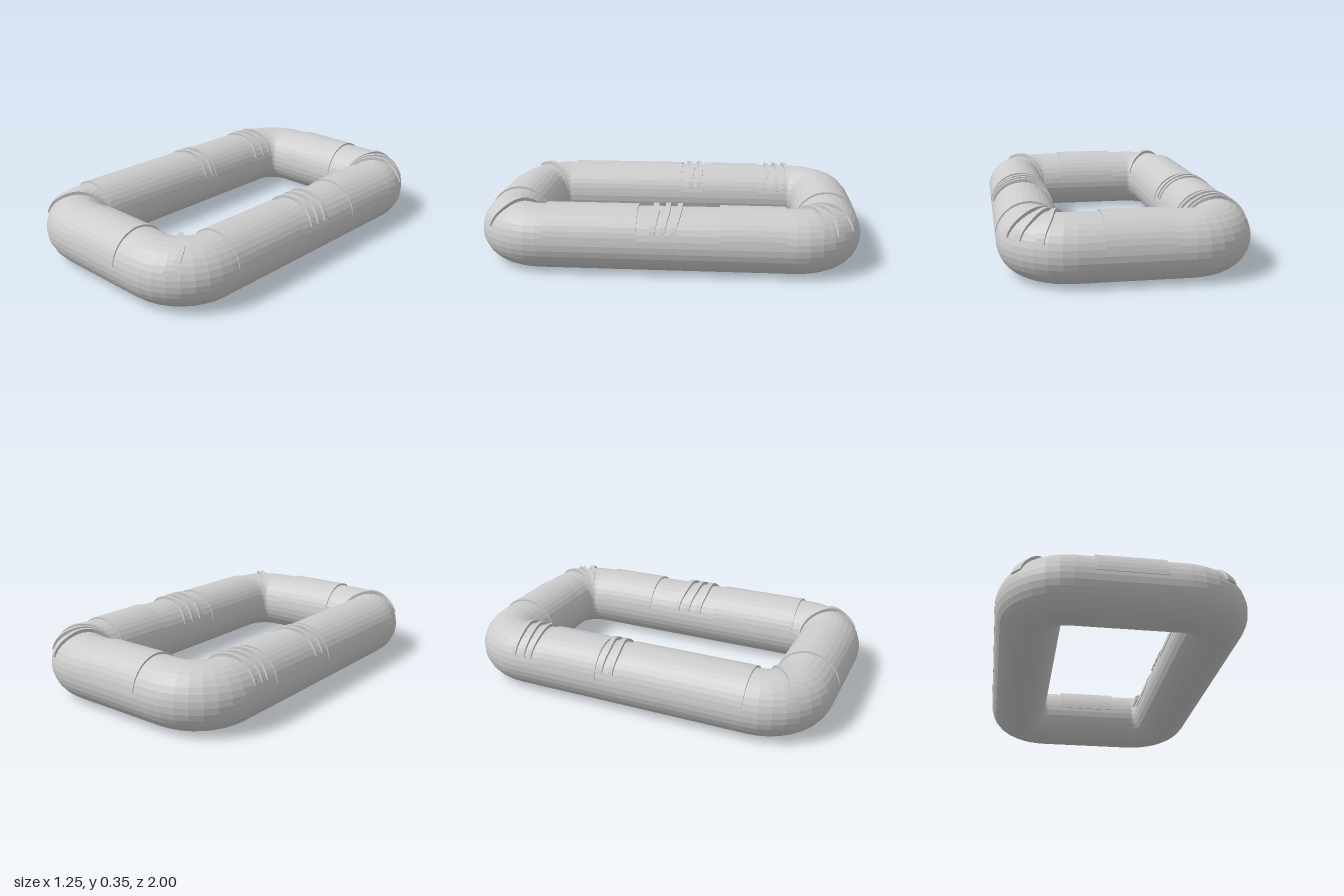
import * as THREE from 'three';

const TUBE = 0.165, MID_Y = 0.168;          // tube radius and height of its centre line
const CX = 0.27, CZ = 0.648, BEND = 0.187;  // corner centres and bend radius
const ARC = BEND * Math.PI / 2;
const PERIMETER = 4 * (CX + CZ + ARC);

// Loop sections in order, starting halfway along the left side and heading to the front:
// [length, start x, start z, heading] for straights, corners turn a quarter between them
const SECTIONS = [
  { len: CZ, x: CX + BEND, z: 0, turn: 0 },
  { len: ARC, x: CX, z: CZ, turn: 0, bend: true },
  { len: 2 * CX, x: CX, z: CZ + BEND, turn: 1 },
  { len: ARC, x: -CX, z: CZ, turn: 1, bend: true },
  { len: 2 * CZ, x: -CX - BEND, z: CZ, turn: 2 },
  { len: ARC, x: -CX, z: -CZ, turn: 2, bend: true },
  { len: 2 * CX, x: -CX, z: -CZ - BEND, turn: 3 },
  { len: ARC, x: CX, z: -CZ, turn: 3, bend: true },
  { len: CZ, x: CX + BEND, z: -CZ, turn: 4 },
];

// Point at distance s along the loop, angle a around the tube (0 outward, PI/2 up), radius r
function tubePoint(s, a, r) {
  let d = ((s % PERIMETER) + PERIMETER) % PERIMETER, k = 0;
  while (k < 8 && d > SECTIONS[k].len) d -= SECTIONS[k++].len;
  const { x, z, turn, bend } = SECTIONS[k];
  const t = turn * Math.PI / 2 + (bend ? d / BEND : 0);
  const nx = Math.cos(t), nz = Math.sin(t);
  const out = r * Math.cos(a) + (bend ? BEND : 0), along = bend ? 0 : d;
  return [x + nx * out - nz * along, MID_Y + r * Math.sin(a), z + nz * out + nx * along];
}

const steps = (from, to, n) => Array.from({ length: n + 1 }, (_, i) => from + (to - from) * i / n);

// Surface spanned by distances and angles
function sweep(name, distances, angles, material, radius, shift = () => 0) {
  const position = [], index = [], m = angles.length;
  distances.forEach((s, i) => angles.forEach((a, j) => {
    position.push(...tubePoint(s + shift(a), a, radius(i, j, a)));
    if (i && j) {
      const p = (i - 1) * m + j - 1;
      index.push(p, p + 1, p + m, p + 1, p + m + 1, p + m);
    }
  }));
  const g = new THREE.BufferGeometry();
  g.setAttribute('position', new THREE.Float32BufferAttribute(position, 3));
  g.setIndex(index);
  g.computeVertexNormals();
  const mesh = new THREE.Mesh(g, material);
  mesh.name = name;
  return mesh;
}

// Raised patch on the upper tube; its border rows are sunk into the tube
function patch(name, s0, s1, a0, a1, height, rows, material, shift) {
  const d = [s0, ...steps(s0, s1, rows), s1];
  const a = [a0, ...steps(a0, a1, 18), a1];
  const sunk = (i, n) => i === 0 || i === n - 1;
  return sweep(name, d, a, material, (i, j, t) =>
    sunk(i, d.length) || sunk(j, a.length) ? TUBE - 0.012 : TUBE + 0.002 + height * Math.sin(t), shift);
}

export function createModel() {
  const group = new THREE.Group();
  const material = new THREE.MeshStandardMaterial({ color: 0xcccccc, flatShading: true });

  // Rounded rectangular ring
  const stations = [];
  let start = 0;
  for (const { len, bend } of SECTIONS) {
    stations.push(...steps(start, start + len, bend ? 8 : 4).slice(0, -1));
    start += len;
  }
  stations.push(PERIMETER);
  group.add(sweep('ringTube', stations, steps(0, 2 * Math.PI, 32), material, () => TUBE));

  const rightMid = PERIMETER / 2;                  // z = 0 on the right side
  const frontMid = CZ + ARC + CX, backMid = PERIMETER - frontMid;
  const corner = CZ + ARC / 2;                     // middle of the front left corner

  // Thin cover panels on the straight runs
  const panels = [
    ['leftFrontPanel', 0.14, 0.615],
    ['leftBackPanel', PERIMETER - 0.6, PERIMETER - 0.27],
    ['rightFrontPanel', rightMid - 0.64, rightMid + 0.02],
    ['rightBackPanel', rightMid + 0.15, rightMid + 0.48],
    ['frontPanel', frontMid - 0.165, frontMid + 0.17],
    ['backPanel', backMid - 0.18, backMid + 0.15],
  ];
  for (const [name, s0, s1] of panels) {
    group.add(patch(name, s0, s1, 0.12, Math.PI - 0.12, 0.008, 1, material));
  }

  // Slightly wavy wrap bands: [name, distance, width, slant]
  const bands = [
    ['leftBand', -0.07, 0.025, 0.02],
    ['leftBand', -0.01, 0.025, 0.015],
    ['leftBand', 0.05, 0.03, 0.005],
    ['rightBand', rightMid + 0.07, 0.025, -0.015],
    ['rightBand', rightMid + 0.125, 0.025, -0.01],
    ['backRightBand', rightMid + 0.53, 0.02, 0.005],
    ['backRightBand', rightMid + 0.585, 0.02, -0.01],
    ['backRightBand', rightMid + 0.64, 0.02, -0.01],
    ['frontLeftCornerBand', corner, 0.035, 0.02],
    ['frontRightCornerBand', 2 * frontMid - corner, 0.035, 0.01],
    ['backLeftCornerBand', PERIMETER - corner - 0.05, 0.022, -0.01],
    ['backLeftCornerBand', PERIMETER - corner, 0.022, 0.01],
    ['backLeftCornerBand', PERIMETER - corner + 0.05, 0.022, 0.01],
  ];
  for (const [name, s, w, slant] of bands) {
    group.add(patch(name, s - w / 2, s + w / 2, 0.35, Math.PI - 0.3, 0.015, 2, material,
      a => slant * Math.cos(a) + 0.006 * Math.sin(4 * a)));
  }
  return group;
}
